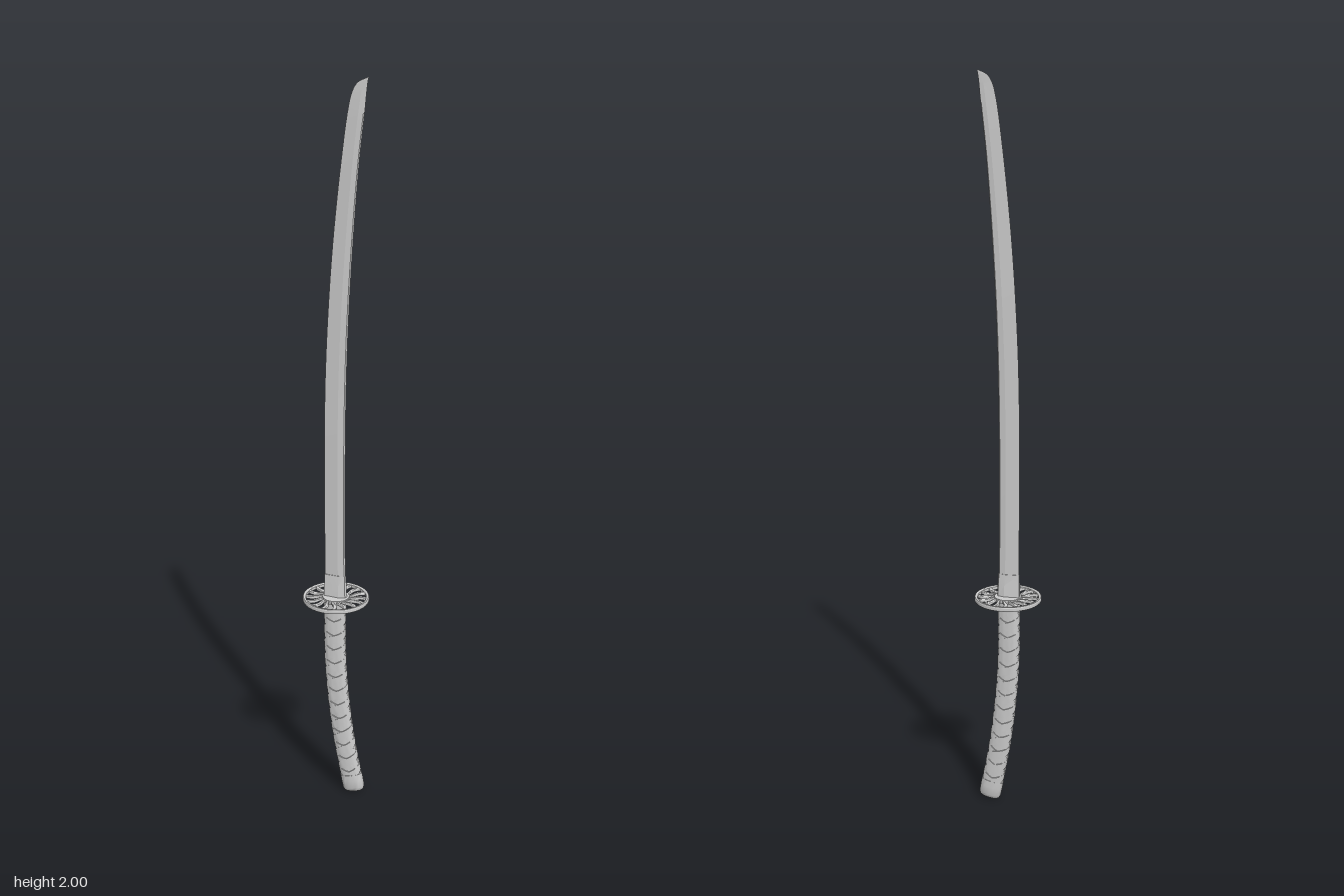
import * as THREE from 'three';
import { toCreasedNormals } from 'three/addons/utils/BufferGeometryUtils.js';

const mat = new THREE.MeshStandardMaterial({ color: 0xcccccc });
const V = (x, y, z) => new THREE.Vector3(x, y, z);

function mesh(name, geo) {
  const m = new THREE.Mesh(geo, mat);
  m.name = name;
  return m;
}

// Skin a list of closed rings (equal point counts) and cap both ends
function loft(rings, crease = 0.5) {
  const n = rings[0].length, pos = [], idx = [];
  rings.forEach(r => r.forEach(p => pos.push(p.x, p.y, p.z)));
  for (let j = 0; j < rings.length - 1; j++) {
    for (let i = 0; i < n; i++) {
      const a = j * n + i, b = j * n + (i + 1) % n;
      idx.push(a, a + n, b, b, a + n, b + n);
    }
  }
  [0, rings.length - 1].forEach((j, end) => {
    const c = rings[j].reduce((s, p) => s.add(p), V(0, 0, 0)).divideScalar(n);
    const k = pos.length / 3;
    pos.push(c.x, c.y, c.z);
    for (let i = 0; i < n; i++) {
      const a = j * n + i, b = j * n + (i + 1) % n;
      end ? idx.push(k, b, a) : idx.push(k, a, b);
    }
  });
  const g = new THREE.BufferGeometry();
  g.setAttribute('position', new THREE.Float32BufferAttribute(pos, 3));
  g.setIndex(idx);
  return toCreasedNormals(g, crease);
}

// Curved centre line of the grip, from the pommel up to the guard
const gripPath = new THREE.CatmullRomCurve3([
  V(0.055, 0.006, 0), V(0.02, 0.2, 0), V(0.0, 0.4, 0), V(-0.003, 0.607, 0)]);

// Point on the grip's rounded oval, at height t and angle a
function gripPoint(t, a, rx, rz) {
  const p = gripPath.getPointAt(t), d = gripPath.getTangentAt(t);
  const round = v => Math.sign(v) * Math.pow(Math.abs(v), 0.8);
  const x = rx * round(Math.cos(a));
  return V(p.x + d.y * x, p.y - d.x * x, rz * round(Math.sin(a)));
}

function gripLoft(rows) {
  return loft(rows.map(([t, rx, rz]) => Array.from({ length: 24 },
    (_, i) => gripPoint(t, i / 24 * Math.PI * 2, rx, rz))), 0.7);
}

// Flat ribbon wound around the grip
function ribbon(dir, start) {
  const turns = 6, steps = 180, t0 = 0.09, t1 = 0.95, w = 0.02, rings = [];
  const lift = dir > 0 ? 0.0022 : 0.0028;
  for (let s = 0; s <= steps; s++) {
    const f = s / steps, a = start + dir * f * turns * Math.PI * 2;
    const t = t0 + (t1 - t0) * f;
    const lo = Math.max(t - w, 0.07), hi = Math.min(t + w, 0.97);
    const at = (h, o) => gripPoint(h, a, 0.028 + o, 0.0155 + o);
    const ring = [at(lo, -0.001), at(lo, lift), at(hi, lift), at(hi, -0.001)];
    rings.push(dir > 0 ? ring.reverse() : ring);
  }
  return loft(rings, 0.6);
}

function makeHandle() {
  const g = new THREE.Group();
  g.name = 'handle';
  const rows = Array.from({ length: 25 }, (_, i) => [0.05 + 0.93 * i / 24, 0.028, 0.0155]);
  g.add(mesh('gripCore', gripLoft(rows)));
  for (const dir of [1, -1]) for (const side of [1, -1])
    g.add(mesh('gripWrap', ribbon(dir, side * Math.PI / 2)));
  g.add(mesh('pommel', gripLoft([[0, 0.024, 0.011], [0.006, 0.028, 0.015],
    [0.02, 0.031, 0.018], [0.06, 0.0315, 0.019], [0.09, 0.031, 0.0185], [0.092, 0.027, 0.015]])));
  g.add(mesh('gripCollar', gripLoft([[0.945, 0.027, 0.015], [0.947, 0.031, 0.0185],
    [0.97, 0.0315, 0.019], [1, 0.0315, 0.019]])));
  return g;
}

// Round guard with sixteen swirling slots between the hub and the rim
function makeGuard() {
  const g = new THREE.Group();
  g.name = 'guard';
  const count = 16, rIn = 0.037, rOut = 0.084;
  const shape = new THREE.Shape().absarc(0, 0, 0.09, 0, Math.PI * 2, false);
  for (let k = 0; k < count; k++) {
    const mid = (k + 0.5) / count * Math.PI * 2, pts = [];
    const edge = (f, side) => {
      const r = rIn + (rOut - rIn) * f;
      const a = mid + 0.15 * f + 0.14 * Math.sin(Math.PI * f) + side * (0.1 + 0.035 * f);
      pts.push(new THREE.Vector2(r * Math.cos(a), r * Math.sin(a)));
    };
    for (let i = 0; i <= 7; i++) edge(i / 7, 1);
    for (let i = 7; i >= 0; i--) edge(i / 7, -1);
    shape.holes.push(new THREE.Path(pts));
  }
  const geo = new THREE.ExtrudeGeometry(shape, { depth: 0.004, bevelThickness: 0.002,
    bevelSize: 0.0015, bevelOffset: -0.0015, bevelSegments: 2, curveSegments: 18 });
  geo.rotateX(-Math.PI / 2).translate(0, 0.61, 0);
  g.add(mesh('spokedPlate', toCreasedNormals(geo, 0.8)));
  // Rounded rim
  const rim = [[0.083, -0.004], [0.085, -0.006], [0.09, -0.006], [0.092, -0.003],
    [0.092, 0.003], [0.09, 0.006], [0.085, 0.006], [0.083, 0.004], [0.083, -0.004]]
    .map(([r, y]) => new THREE.Vector2(r, y));
  const rimMesh = mesh('rim', toCreasedNormals(new THREE.LatheGeometry(rim, 36), 0.8));
  rimMesh.position.y = 0.612;
  g.add(rimMesh);
  const hub = mesh('hub', new THREE.CylinderGeometry(0.037, 0.037, 0.011, 32));
  hub.position.y = 0.612;
  g.add(hub);
  return g;
}

// Six-sided blade section: flat back at +x, ridge, sharp edge at -x
function bladeRing(y, edge, back, t, blunt = 0) {
  const at = (u, z) => V(edge + (back - edge) * u, y, z * t);
  return [at(1, 0), at(0.94, 0.65), at(0.65, 1), at(0, blunt),
    at(0, -blunt), at(0.65, -1), at(0.94, -0.65)];
}

function makeBlade() {
  // Each point holds (edge x, height, back x)
  const path = new THREE.CatmullRomCurve3([
    [-0.03, 0.62, 0.027], [-0.032, 0.9, 0.025], [-0.03, 1.2, 0.027], [-0.022, 1.4, 0.033],
    [-0.008, 1.6, 0.044], [0.013, 1.8, 0.059], [0.031, 1.93, 0.073], [0.041, 1.968, 0.0765],
    [0.054, 1.988, 0.079], [0.079, 2.0, 0.0815]].map(p => V(...p)));
  const rings = path.getPoints(54).map(p =>
    bladeRing(p.y, p.x, p.z, 0.0055 * (1 - 0.25 * (p.y - 0.62)) * Math.min(1, (2.01 - p.y) / 0.1)));
  return mesh('blade', loft(rings, 0.12));
}

export function createModel() {
  const model = new THREE.Group();
  model.name = 'curvedSword';
  model.add(makeHandle(), makeGuard(), makeBlade());
  // Tapered collar at the foot of the blade
  model.add(mesh('bladeCollar', loft([
    bladeRing(0.612, -0.033, 0.031, 0.012, 0.5),
    bladeRing(0.65, -0.0325, 0.0295, 0.009, 0.4),
    bladeRing(0.68, -0.032, 0.028, 0.0065, 0.3)], 0.3)));
  return model;
}
